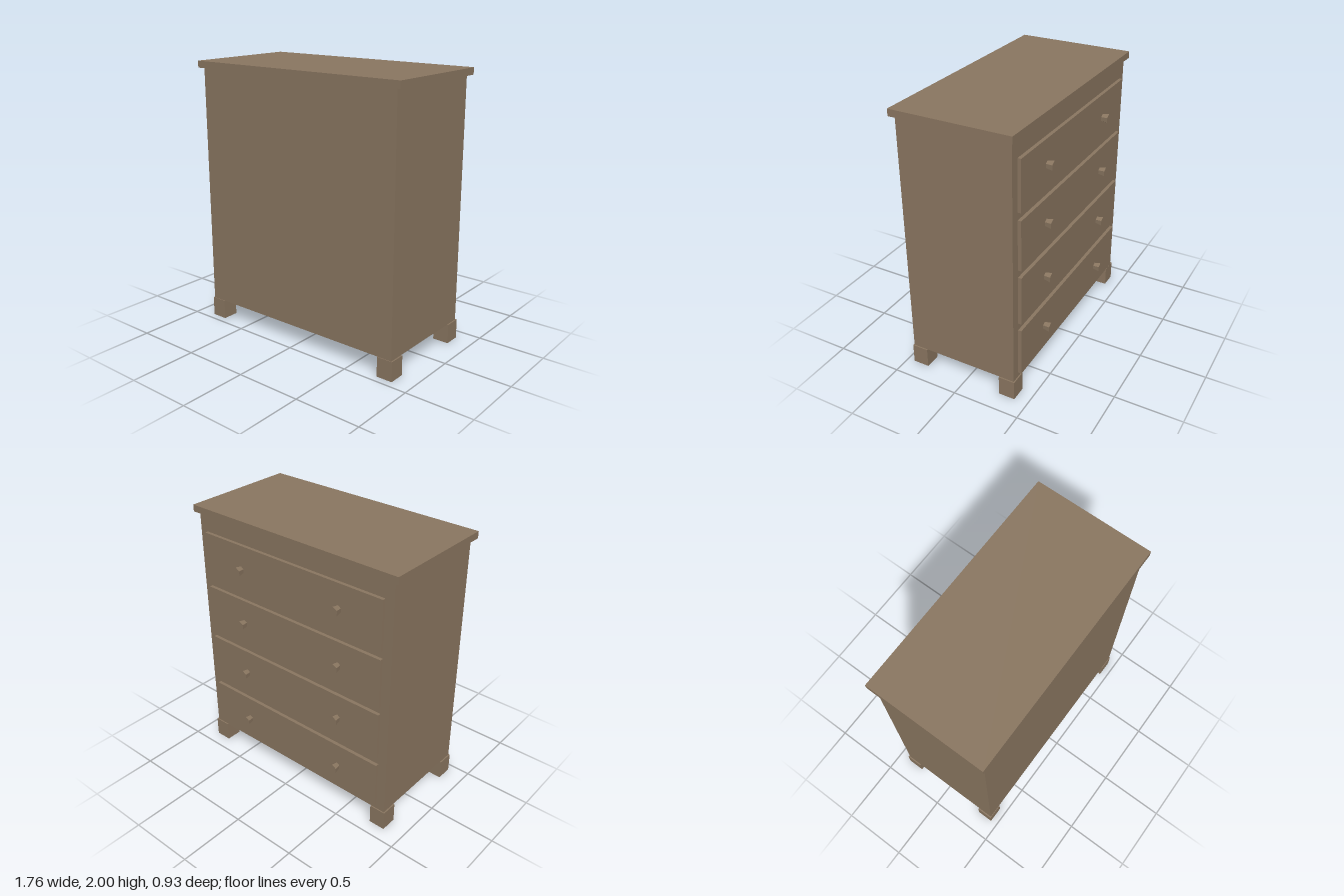
import * as THREE from 'three';

export function createModel() {
  const root = new THREE.Group();
  root.name = 'chestOfDrawers';
  const wood = new THREE.MeshStandardMaterial({ color: 0x8b7761, flatShading: true });
  wood.name = 'brown wood';

  function add(name, geometry) {
    const mesh = new THREE.Mesh(geometry, wood);
    mesh.name = name;
    root.add(mesh);
    return mesh;
  }

  // Box given by its minimum and maximum corners
  function box(name, [x0, y0, z0], [x1, y1, z1]) {
    add(name, new THREE.BoxGeometry(x1 - x0, y1 - y0, z1 - z0))
      .position.set((x0 + x1) / 2, (y0 + y1) / 2, (z0 + z1) / 2);
  }

  // Carcass and overhanging top
  box('body', [-0.845, 0.147, -0.39], [0.845, 1.95, 0.44]);
  box('topBoard', [-0.882, 1.95, -0.415], [0.882, 2, 0.465]);

  // Block feet at the corners, slightly proud of the body
  for (const side of [-1, 1]) {
    for (const [end, z] of [['front', 0.384], ['back', -0.338]]) {
      const x = side * 0.794;
      box(`${end}${side > 0 ? 'Left' : 'Right'}Foot`, [x - 0.061, 0, z - 0.061], [x + 0.061, 0.147, z + 0.061]);
    }
  }

  // Flared six-sided knob with its wide end towards -z
  const knob = new THREE.CylinderGeometry(0.038, 0.028, 0.05, 6);
  knob.rotateX(-Math.PI / 2);

  // Four drawers on the -z side, each with two knobs
  for (let i = 0; i < 4; i++) {
    const y = 0.364 + i * 0.4235;
    box(`drawer${i + 1}`, [-0.78, y - 0.184, -0.415], [0.78, y + 0.184, -0.38]);
    for (const side of [-1, 1]) {
      add(`drawer${i + 1}${side > 0 ? 'Left' : 'Right'}Knob`, knob)
        .position.set(side * 0.434, y, -0.44);
    }
  }
  return root;
}
